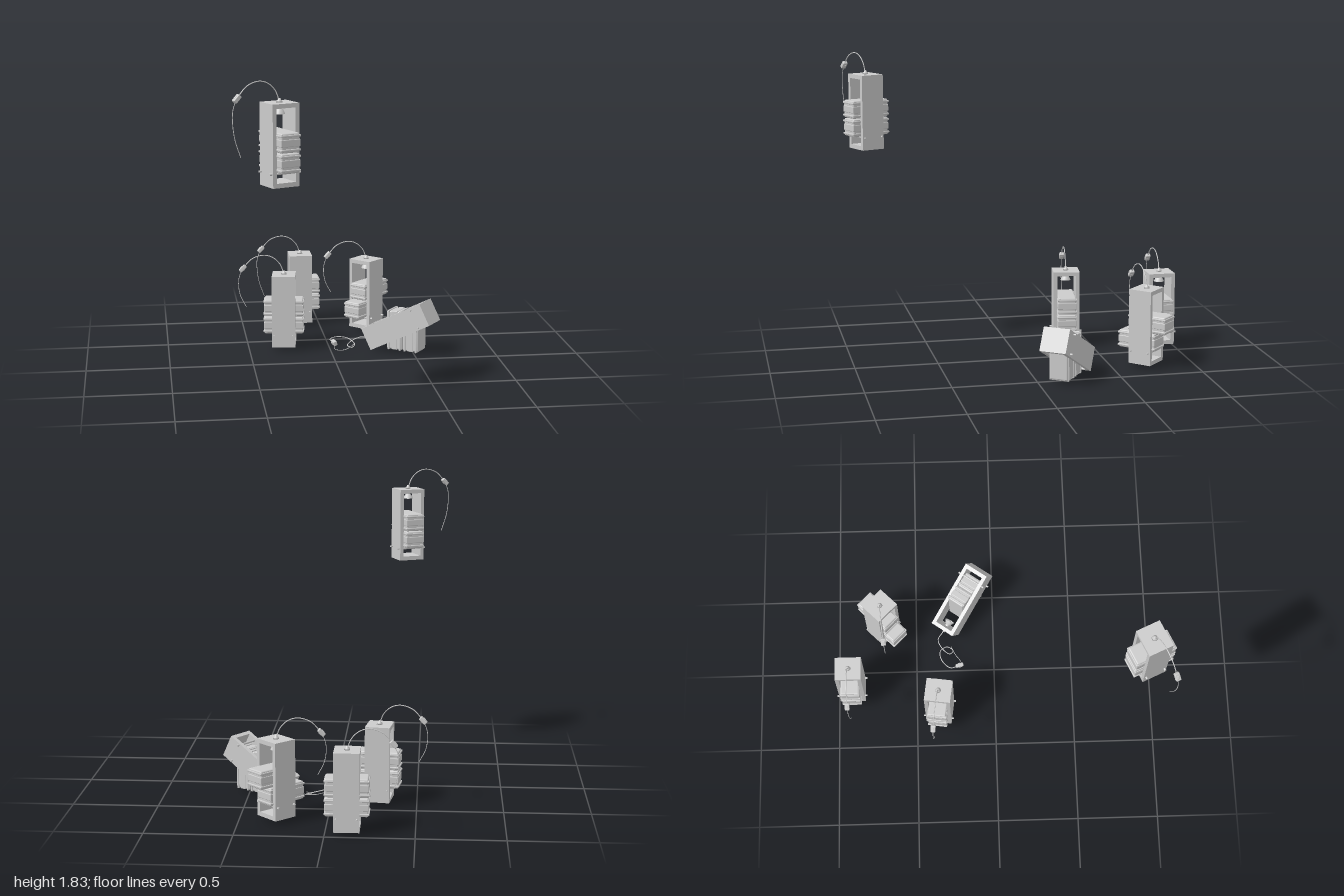
import * as THREE from 'three';
import { RoundedBoxGeometry } from 'three/addons/geometries/RoundedBoxGeometry.js';

const grey = new THREE.MeshStandardMaterial({ color: 0xcccccc });
const greyDouble = new THREE.MeshStandardMaterial({ color: 0xcccccc, side: THREE.DoubleSide });

const H = 0.45, W = 0.162, D = 0.145; // frame height, width (z) and depth (x)

function add(parent, name, geometry, x = 0, y = 0, z = 0, material = grey) {
  const mesh = new THREE.Mesh(geometry, material);
  mesh.name = name;
  mesh.position.set(x, y, z);
  parent.add(mesh);
  return mesh;
}

function group(parent, name) {
  const g = new THREE.Group();
  g.name = name;
  parent.add(g);
  return g;
}

// Rectangular tube frame, open towards +x and -x
function frameGeometry() {
  const rect = (T, w, y0, y1) => {
    const s = new T();
    s.moveTo(-w, y0);
    s.lineTo(w, y0);
    s.lineTo(w, y1);
    s.lineTo(-w, y1);
    s.closePath();
    return s;
  };
  const shape = rect(THREE.Shape, W / 2, 0, H);
  shape.holes.push(rect(THREE.Path, W / 2 - 0.023, 0.025, H - 0.024));
  const geo = new THREE.ExtrudeGeometry(shape, { depth: D, bevelEnabled: false });
  geo.translate(0, 0, -D / 2);
  return geo.rotateY(Math.PI / 2);
}

function addBody(lamp) {
  add(lamp, 'frame', frameGeometry());

  // Support rods through both side walls
  for (const x of [-0.058, 0.058]) {
    const rod = add(lamp, 'supportRod', new THREE.CylinderGeometry(0.006, 0.006, W + 0.028, 12), x, 0.075, 0);
    rod.rotation.x = Math.PI / 2;
  }

  // Cable grommet on the roof
  const grommet = [[0, 0.022], [0.007, 0.022], [0.009, 0.012], [0.015, 0.01], [0.017, 0], [0, 0]]
    .reverse().map(p => new THREE.Vector2(...p));
  add(lamp, 'cableGrommet', new THREE.LatheGeometry(grommet, 20), 0, H, 0);

  // Hanging socket, shade and bulb
  add(lamp, 'socket', new THREE.CylinderGeometry(0.013, 0.013, 0.014, 16), 0, H - 0.03, 0);
  const shade = [[0.031, 0], [0.029, 0.006], [0.019, 0.024], [0.012, 0.028]].map(p => new THREE.Vector2(...p));
  add(lamp, 'shade', new THREE.LatheGeometry(shade, 24), 0, H - 0.062, 0, greyDouble);
  add(lamp, 'bulb', new THREE.SphereGeometry(0.016, 16, 10), 0, H - 0.05, 0);
}

// One block: rounded core with protruding lips
function addBlock(parent, shift, y) {
  const block = group(parent, 'block');
  block.position.set(shift, y, 0);
  add(block, 'blockCore', new RoundedBoxGeometry(0.24, 0.106, 0.112, 3, 0.008));
  for (const ly of [-0.038, 0.038])
    add(block, 'blockLip', new RoundedBoxGeometry(0.252, 0.012, 0.122, 2, 0.004), 0, ly, 0);
  add(block, 'blockBand', new RoundedBoxGeometry(0.246, 0.04, 0.117, 2, 0.004));
}

// Cable, inline switch and thin tail
function addCable(parent, main, tail) {
  const cable = group(parent, 'cable');
  const curve = pts => new THREE.CatmullRomCurve3(pts.map(p => new THREE.Vector3(...p)));
  const a = curve(main), b = curve(tail);
  add(cable, 'cord', new THREE.TubeGeometry(a, 80, 0.003, 6));
  add(cable, 'cordTail', new THREE.TubeGeometry(b, 40, 0.002, 6));
  const sw = group(cable, 'switch');
  sw.position.set(...main[main.length - 1]);
  sw.quaternion.setFromUnitVectors(new THREE.Vector3(0, -1, 0), a.getTangent(1));
  add(sw, 'switchHousing', new RoundedBoxGeometry(0.024, 0.048, 0.03, 2, 0.005));
  add(sw, 'switchRocker', new RoundedBoxGeometry(0.03, 0.018, 0.014, 2, 0.003));
}

function standingLamp(root, { pos, yaw, cableDir, shift = 0, tailDrop = 0.2 }) {
  const lamp = group(root, 'lamp');
  lamp.position.set(...pos);
  const body = group(lamp, 'body');
  body.rotation.y = yaw;
  addBody(body);
  addBlock(body, -shift, 0.135);
  addBlock(body, shift, 0.245);

  const cord = group(lamp, 'cableArm');
  cord.rotation.y = Math.atan2(-cableDir[1], cableDir[0]);
  addCable(cord,
    [[0, 0.455, 0], [0.025, 0.515, 0], [0.07, 0.556, 0], [0.125, 0.569, 0], [0.195, 0.547, 0], [0.255, 0.485, 0]],
    [[0.255, 0.485, 0], [0.277, 0.43, 0], [0.282, 0.38, 0],
      [0.27, 0.38 - tailDrop * 0.5, 0], [0.235, 0.38 - tailDrop, 0]]);
}

function fallenLamp(root) {
  const lamp = group(root, 'fallenLamp');
  const basis = (x, y, z) => new THREE.Matrix4().makeBasis(x, y, z);

  // Tilted frame, its roof pointing down towards the cable
  const up = new THREE.Vector3(-0.72, -0.46, -0.515).normalize();
  const flat = new THREE.Vector3(up.x, 0, up.z).normalize();
  const side = new THREE.Vector3(-flat.z, 0, flat.x);
  const body = group(lamp, 'body');
  body.quaternion.setFromRotationMatrix(basis(up.clone().cross(side), up, side));
  body.position.set(0.43, 0.165, -0.195).addScaledVector(up, -H / 2);
  addBody(body);

  // Blocks stand upright on the ground inside the tilted frame
  const blocks = group(lamp, 'blocks');
  blocks.quaternion.setFromRotationMatrix(basis(new THREE.Vector3(0, -1, 0), flat, side));
  blocks.position.set(0.463, 0.137, -0.175);
  addBlock(blocks, 0, -0.055);
  addBlock(blocks, 0, 0.055);

  // Loosely curled cable
  addCable(lamp,
    [[0.268, 0.063, -0.311], [0.245, 0.05, -0.33], [0.2, 0.045, -0.358], [0.14, 0.03, -0.33],
      [0.11, 0.015, -0.285], [0.135, 0.008, -0.262], [0.157, 0.02, -0.3], [0.12, 0.045, -0.345],
      [0.05, 0.06, -0.335], [0, 0.06, -0.28], [0.018, 0.055, -0.222]],
    [[0.018, 0.055, -0.222], [0.02, 0.02, -0.205], [0.06, 0.006, -0.215], [0.11, 0.006, -0.25], [0.155, 0.03, -0.275]]);
}

export function createModel() {
  const root = new THREE.Group();
  root.name = 'lampSet';
  const deg = THREE.MathUtils.degToRad;
  const lamps = [
    { pos: [-0.123, 0.02, -0.91], yaw: 0, cableDir: [-1, 0], tailDrop: 0.21 },
    { pos: [-0.28, 0.02, -0.352], yaw: deg(-8), cableDir: [-52, -7], tailDrop: 0.14 },
    { pos: [0.288, 0.02, -0.71], yaw: deg(45), cableDir: [-54, 5], shift: 0.034, tailDrop: 0.14 },
    { pos: [-0.41, 1.255, 0.86], yaw: deg(-66), cableDir: [-45, 20], tailDrop: 0.21 },
  ];
  lamps.forEach(l => standingLamp(root, l));
  fallenLamp(root);
  return root;
}
